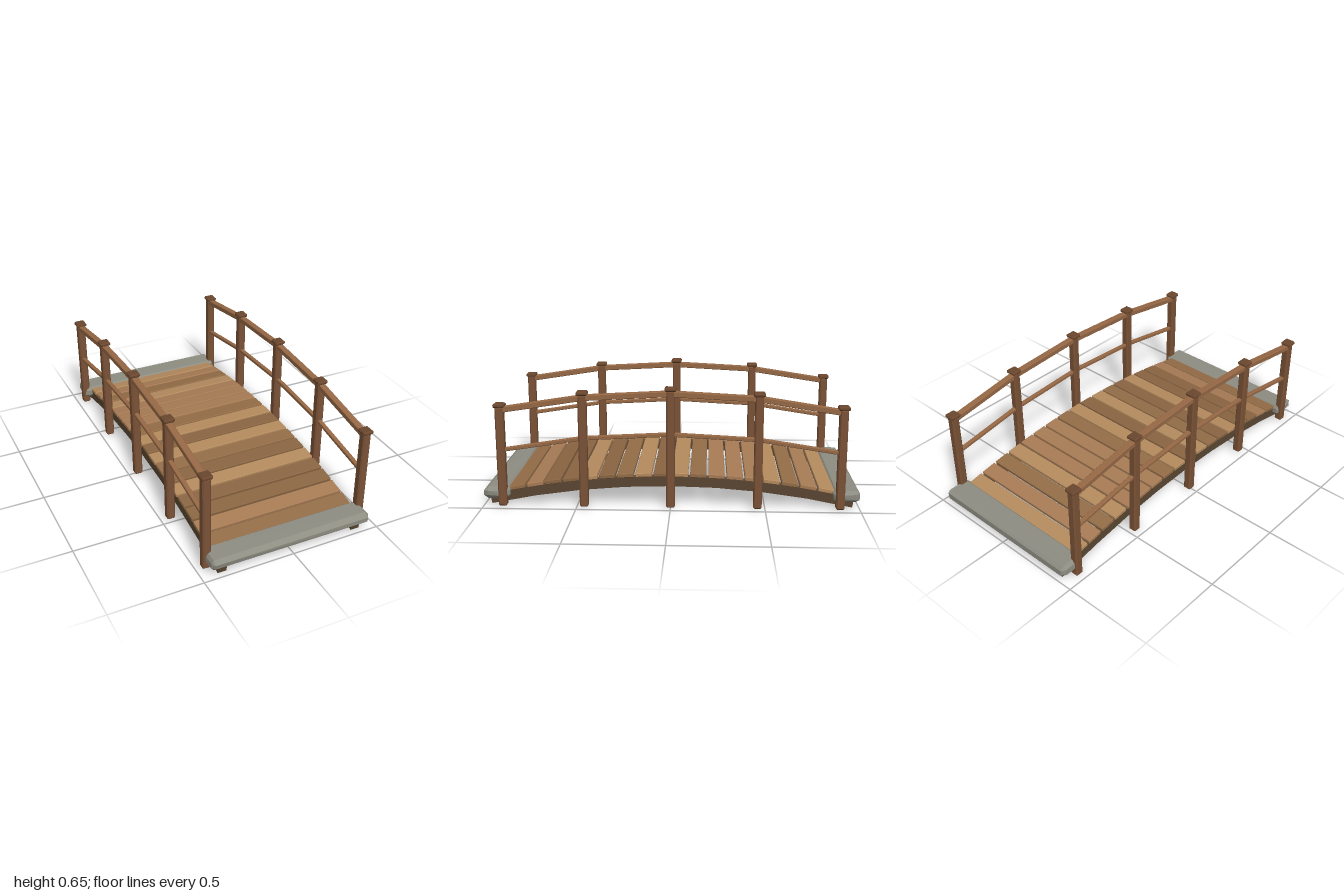
import * as THREE from 'three';
import { ConvexGeometry } from 'three/addons/geometries/ConvexGeometry.js';

// Every level of the bridge follows the same shallow arch
const arch = (crown, z) => crown - 0.115 * z * z;

const mat = (color) => new THREE.MeshStandardMaterial({ color, flatShading: true });
const postMat = mat(0x7a5236);
const capMat = mat(0x6b472e);
const railMat = mat(0x966845);
const beamMat = mat(0x5a4632);
const stoneMat = mat(0x8e8d82);
const plankMats = [0xb58b5e, 0xa87c55, 0x946d47, 0x8a6542].map(mat);

function seeded(seed) {
  return () => (seed = (seed * 16807) % 2147483647) / 2147483647;
}

// Box with all edges chamfered by c, optionally roughened by jitter
function chamferBox(w, h, d, c, jitter = 0, rand = () => 0.5) {
  const points = [];
  const j = () => (rand() - 0.5) * jitter;
  for (const x of [-1, 1]) for (const y of [-1, 1]) for (const z of [-1, 1]) {
    for (let full = 0; full < 3; full++) {
      const inset = (axis) => (axis === full ? 0 : c);
      points.push(new THREE.Vector3(
        x * (w / 2 - inset(0)) + j(),
        y * (h / 2 - inset(1)) + j(),
        z * (d / 2 - inset(2)) + j()));
    }
  }
  return new ConvexGeometry(points);
}

export function createModel() {
  const model = new THREE.Group();
  const add = (name, geometry, material, x, y, z, tilt = 0) => {
    const mesh = new THREE.Mesh(geometry, material);
    mesh.name = name;
    mesh.position.set(x, y, z);
    mesh.rotation.x = tilt;
    model.add(mesh);
    return mesh;
  };

  // Deck planks, tilted along the arch
  const order = [0, 1, 2, 0, 1, 1, 1, 2, 0, 3, 0, 2, 3, 0, 3, 3, 1, 2];
  const plankGeo = chamferBox(0.83, 0.022, 0.087, 0.003);
  order.forEach((tone, i) => {
    const z = (i - 8.5) * 0.0972;
    add('deckPlank', plankGeo, plankMats[tone], 0, arch(0.174, z), z, Math.atan(0.23 * z));
  });

  // Curved beams under the deck
  const outline = [];
  const steps = 8, reach = 0.965;
  for (let i = 0; i <= steps; i++) {
    const z = -reach + (2 * reach * i) / steps;
    outline.push(new THREE.Vector2(z, arch(0.111, z)));
  }
  for (let i = steps; i >= 0; i--) {
    const z = -reach + (2 * reach * i) / steps;
    outline.push(new THREE.Vector2(z * 1.008, arch(0.163, z)));
  }
  const beamGeo = new THREE.ExtrudeGeometry(new THREE.Shape(outline), { depth: 0.048, bevelEnabled: false });
  beamGeo.translate(0, 0, -0.024);
  beamGeo.rotateY(-Math.PI / 2);

  // Posts with caps, and the two rails that join them
  const postZ = [-0.895, -0.46, 0, 0.46, 0.895];
  const capGeo = chamferBox(0.06, 0.021, 0.06, 0.006);
  for (const side of [-1, 1]) {
    const label = side > 0 ? 'left' : 'right';
    const x = side * 0.445;
    add(label + 'Beam', beamGeo, beamMat, side * 0.387, 0, 0);
    for (const z of postZ) {
      const top = arch(0.638, z), base = 0.007;
      add(label + 'Post', chamferBox(0.045, top - base, 0.045, 0.007), postMat, x, (top + base) / 2, z);
      add(label + 'PostCap', capGeo, capMat, x, arch(0.645, z), z);
    }
    const rails = [['Handrail', 0.621, 0.036, 0.03], ['MiddleRail', 0.404, 0.024, 0.02]];
    for (const [name, crown, width, height] of rails) {
      for (let i = 0; i < postZ.length - 1; i++) {
        const z0 = postZ[i], z1 = postZ[i + 1];
        const y0 = arch(crown, z0), y1 = arch(crown, z1);
        const length = Math.hypot(z1 - z0, y1 - y0);
        add(label + name, chamferBox(width, height, length, 0.003), railMat,
          x, (y0 + y1) / 2, (z0 + z1) / 2, -Math.atan2(y1 - y0, z1 - z0));
      }
    }
  }

  // Rough stone slabs at both ends
  const rand = seeded(4711);
  for (const end of [-1, 1]) {
    add(end > 0 ? 'frontStone' : 'backStone', chamferBox(0.908, 0.066, 0.138, 0.018, 0.008, rand),
      stoneMat, 0, 0.073, end * 0.928);
  }
  return model;
}
